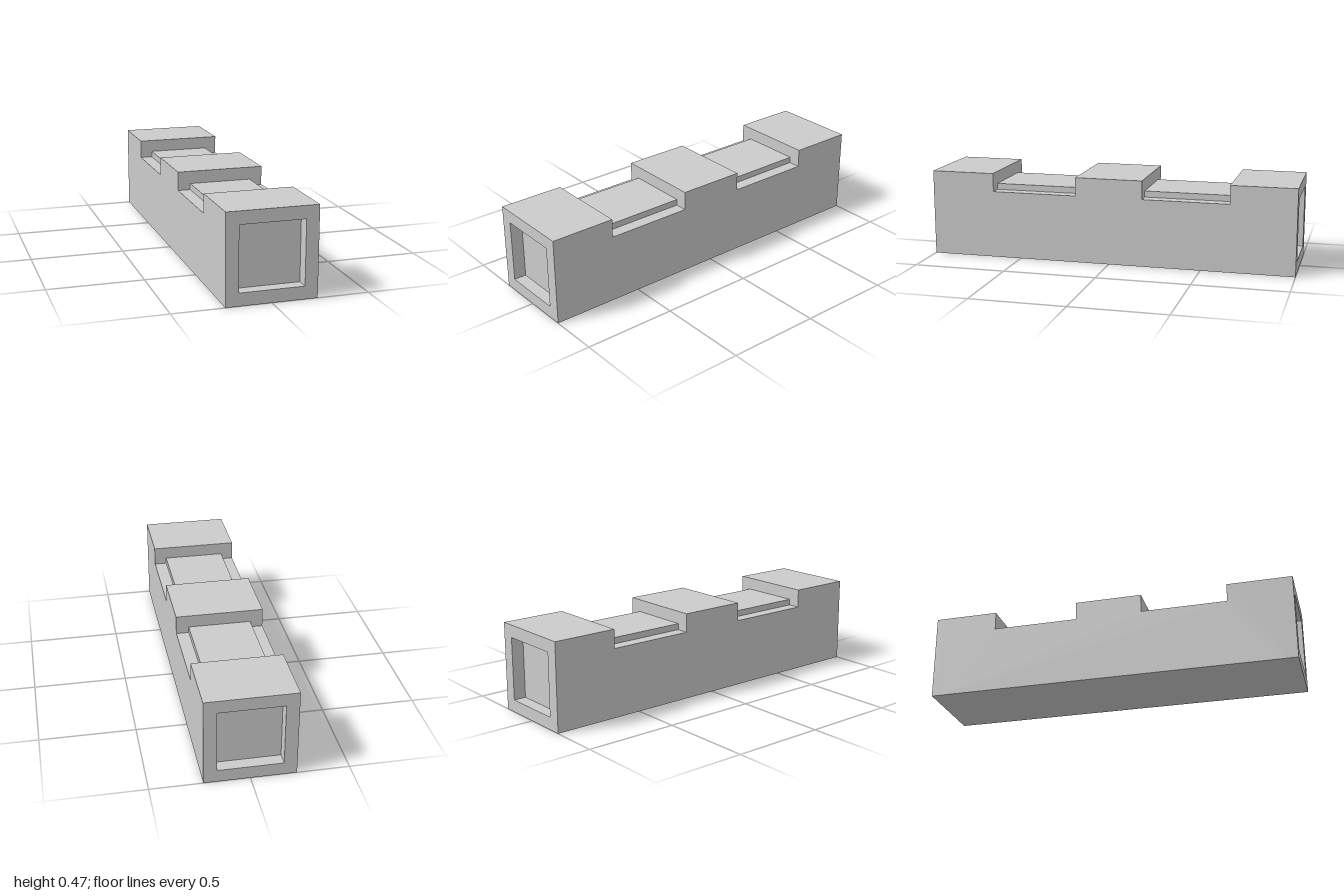
import * as THREE from 'three';

const U = 1 / 30;                 // design module
const HALF = 7 * U;               // half width of the square section
const TOP = 14 * U;               // full height
const FLOOR = 11 * U;             // floor of the top notches
const WALL = 2 * U;               // frame thickness and end recess depth
const CORE_END = 1 - WALL;        // z where the end recesses stop
const NOTCH = [0.183, 0.65];      // z range of a notch, mirrored front to back

const material = new THREE.MeshStandardMaterial({ color: 0xcccccc, flatShading: true });

function add(group, name, geometry, x = 0, y = 0, z = 0) {
  const mesh = new THREE.Mesh(geometry, material);
  mesh.name = name;
  mesh.position.set(x, y, z);
  group.add(mesh);
  return mesh;
}

function polygon(points) {
  return new THREE.Shape(points.map(([x, y]) => new THREE.Vector2(x, y)));
}

function extrude(shape, depth) {
  return new THREE.ExtrudeGeometry(shape, { depth, bevelEnabled: false }).translate(0, 0, -depth / 2);
}

export function createModel() {
  const model = new THREE.Group();
  model.name = 'notchedBeam';
  const [n0, n1] = NOTCH;

  // Beam body: side profile with two notches, extruded across the width
  const profile = polygon([
    [-CORE_END, 0], [CORE_END, 0], [CORE_END, TOP],
    [n1, TOP], [n1, FLOOR], [n0, FLOOR], [n0, TOP],
    [-n0, TOP], [-n0, FLOOR], [-n1, FLOOR], [-n1, TOP], [-CORE_END, TOP],
  ]);
  add(model, 'body', extrude(profile, 2 * HALF).rotateY(-Math.PI / 2));

  // Square frame that surrounds the recess at each end
  const i = HALF - WALL;
  const frame = polygon([[-HALF, 0], [HALF, 0], [HALF, TOP], [-HALF, TOP]]);
  frame.holes.push(polygon([[-i, WALL], [-i, TOP - WALL], [i, TOP - WALL], [i, WALL]]));
  const frameGeometry = extrude(frame, WALL);

  // Raised pad in the middle of each notch
  const padHeight = TOP - WALL - FLOOR;
  const padGeometry = new THREE.BoxGeometry(2 * i, padHeight, n1 - n0);

  for (const [side, s] of [['front', 1], ['back', -1]]) {
    add(model, side + 'EndFrame', frameGeometry, 0, 0, s * (1 - WALL / 2));
    add(model, side + 'NotchPad', padGeometry, 0, FLOOR + padHeight / 2, s * (n0 + n1) / 2);
  }
  return model;
}
